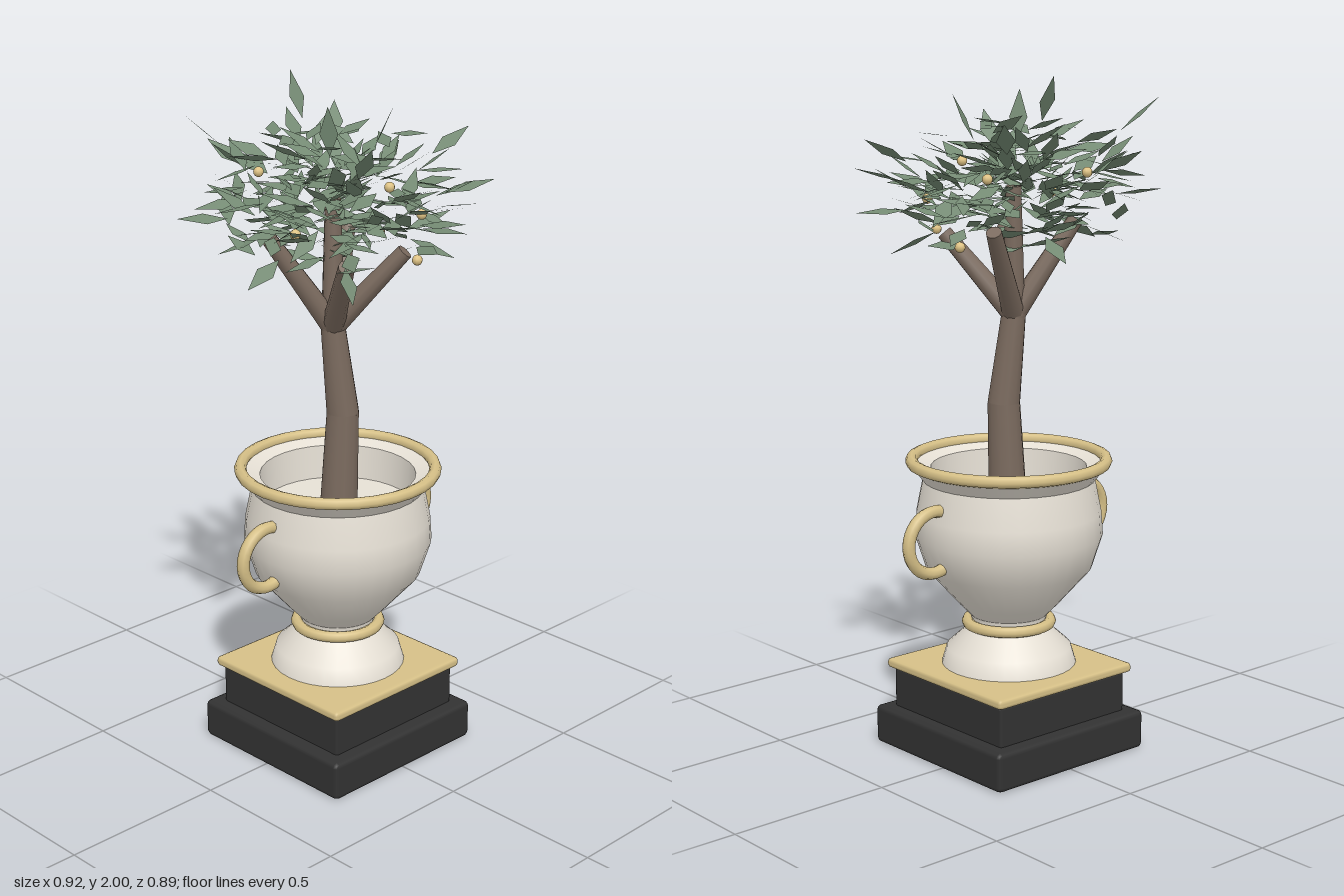
import * as THREE from 'three';
import { mergeGeometries } from 'three/addons/utils/BufferGeometryUtils.js';
import { RoundedBoxGeometry } from 'three/addons/geometries/RoundedBoxGeometry.js';

const V = (x, y, z) => new THREE.Vector3(x, y, z);

function material(name, color, extra = {}) {
  const m = new THREE.MeshStandardMaterial({ color, ...extra });
  m.name = name;
  return m;
}

// Small seeded generator for the foliage
function seeded(seed) {
  return () => {
    seed = (seed * 16807) % 2147483647;
    return seed / 2147483647;
  };
}

// Flat diamond leaf, pointing along dir with its tip at the given point
function leafGeometry(tip, dir, length, width, roll) {
  const shape = new THREE.Shape();
  shape.moveTo(0, -length);
  shape.lineTo(width / 2, -length * 0.55);
  shape.lineTo(0, 0);
  shape.lineTo(-width / 2, -length * 0.55);
  const d = dir.clone().normalize();
  const side = d.clone().cross(V(0, 1, 0)).normalize().applyAxisAngle(d, roll);
  const normal = side.clone().cross(d);
  const frame = new THREE.Matrix4().makeBasis(side, d, normal).setPosition(tip);
  return new THREE.ShapeGeometry(shape).applyMatrix4(frame);
}

// Tapered cylinder between two points
function limbGeometry(a, b, ra, rb, sides) {
  const d = b.clone().sub(a);
  const g = new THREE.CylinderGeometry(rb, ra, d.length(), sides);
  g.applyQuaternion(new THREE.Quaternion().setFromUnitVectors(V(0, 1, 0), d.normalize()));
  const mid = a.clone().add(b).multiplyScalar(0.5);
  return g.translate(mid.x, mid.y, mid.z);
}

export function createModel() {
  const black = material('black stone', 0x323232);
  const gold = material('gold', 0xd6c087);
  const cream = material('cream ceramic', 0xe6e0d5, { side: THREE.DoubleSide });
  const bark = material('bark', 0x7a6a5e);
  const green = material('leaf green', 0x748a73, { side: THREE.DoubleSide });
  const fruitTan = material('fruit tan', 0xdec283);

  const model = new THREE.Group();
  model.name = 'pottedTree';
  const planter = new THREE.Group();
  planter.name = 'planter';
  planter.position.z = 0.02;
  const tree = new THREE.Group();
  tree.name = 'tree';
  model.add(planter, tree);

  const add = (parent, name, geometry, mat) => {
    const mesh = new THREE.Mesh(geometry, mat);
    mesh.name = name;
    parent.add(mesh);
  };

  // Square pedestal: name, half width, bottom, top, bevel, material
  const slabs = [
    ['plinthBase', 0.285, 0, 0.117, 0.015, black],
    ['plinthUpper', 0.243, 0.11, 0.237, 0.01, black],
    ['plinthPlate', 0.26, 0.235, 0.265, 0.012, gold],
  ];
  for (const [name, half, y0, y1, bevel, mat] of slabs) {
    const g = new RoundedBoxGeometry(half * 2, y1 - y0, half * 2, 1, bevel);
    add(planter, name, g.translate(0, (y0 + y1) / 2, 0), mat);
  }

  // Turned urn, one profile per crease-free section
  const profiles = {
    urnFoot: [[0.2, 0.264], [0.185, 0.315], [0.125, 0.37], [0.108, 0.395], [0.115, 0.415]],
    urnBowl: [[0.115, 0.415], [0.15, 0.452], [0.245, 0.56], [0.277, 0.66], [0.272, 0.73], [0.253, 0.825]],
    urnFlare: [[0.253, 0.825], [0.288, 0.87]],
    urnLip: [[0.288, 0.88], [0.228, 0.862]],
    urnInnerWall: [[0.228, 0.862], [0.222, 0.76]],
    urnFloor: [[0.222, 0.76], [0, 0.76]],
  };
  for (const [name, points] of Object.entries(profiles)) {
    const profile = points.map(([r, y]) => new THREE.Vector2(r, y));
    add(planter, name, new THREE.LatheGeometry(profile, 32), cream);
  }

  // Gold rings at the neck and rim
  for (const [name, radius, tube, y] of [['neckRing', 0.123, 0.017, 0.39], ['rimRing', 0.285, 0.018, 0.88]]) {
    add(planter, name, new THREE.TorusGeometry(radius, tube, 8, 32).rotateX(Math.PI / 2).translate(0, y, 0), gold);
  }

  // Looped side handles
  for (const [name, turn] of [['leftHandle', 0], ['rightHandle', Math.PI]]) {
    const arc = Math.PI * 1.28;
    const g = new THREE.TorusGeometry(0.091, 0.0185, 8, 20, arc);
    g.rotateZ(-arc / 2).translate(0.285, 0.68, 0).rotateY(turn);
    add(planter, name, g, gold);
  }

  // Two-piece trunk leaning at the bend, with rounded joints
  const bend = V(0.012, 1.05, 0.028);
  const fork = V(-0.01, 1.31, 0.01);
  add(tree, 'lowerTrunk', limbGeometry(V(0.002, 0.755, 0.022), bend, 0.057, 0.048, 12), bark);
  add(tree, 'upperTrunk', limbGeometry(bend, fork, 0.048, 0.036, 12), bark);
  for (const [joint, r] of [[bend, 0.048], [fork, 0.037]]) {
    add(tree, 'trunkJoint', new THREE.SphereGeometry(r, 12, 8).translate(joint.x, joint.y, joint.z), bark);
  }

  // Branches fanning from the fork
  const tips = [
    V(-0.175, 1.58, -0.073), V(0.16, 1.57, -0.1), V(-0.12, 1.54, 0.175),
    V(0.11, 1.54, 0.175), V(0, 1.68, 0),
  ];
  tips.forEach((tip) => add(tree, 'branch', limbGeometry(fork, tip, 0.034, 0.023, 10), bark));

  // Crown leaves: densest at mid height, fanning outward
  const rand = seeded(4211);
  const spread = (n) => (rand() * 2 - 1) * n;
  const leaves = [];
  for (let i = 0; i < 225; i++) {
    const angle = i * 2.39996 + spread(0.3);
    const h = spread(0.6) + spread(0.35);
    const reach = 0.42 * Math.sqrt(1 - h * h) * Math.pow(rand(), 0.6);
    const tip = V(Math.cos(angle) * reach, 1.695 + h * 0.225, Math.sin(angle) * reach);
    const heading = angle + spread(0.9);
    const dir = V(Math.cos(heading), 0.15 + h * 0.5 + spread(0.45), Math.sin(heading));
    leaves.push(leafGeometry(tip, dir, 0.132 + spread(0.025), 0.046 + spread(0.008), spread(0.6)));
  }

  // Longer leaves breaking the outline, by tip
  const outer = [
    [0.46, 1.83, 0.09], [-0.46, 1.73, 0.14], [0.05, 1.73, -0.445], [0.065, 1.65, 0.445],
    [0.41, 1.76, -0.14], [-0.41, 1.66, -0.19], [-0.1, 1.8, -0.415], [0.17, 1.86, -0.37],
    [0.43, 1.62, 0.17], [-0.29, 1.6, 0.375], [-0.07, 1.78, 0.4], [0.14, 1.7, 0.39],
    [-0.33, 1.93, -0.25], [0.065, 2.0, -0.24], [-0.05, 1.95, 0.03], [0.14, 1.94, 0.1],
    [0.34, 1.73, 0.3], [0.27, 1.88, -0.27], [-0.37, 1.5, 0.05], [-0.2, 1.47, 0.28],
    [0.29, 1.49, 0.2], [0.1, 1.5, -0.33], [-0.24, 1.52, -0.22], [-0.12, 1.88, 0.27],
  ];
  for (const [x, y, z] of outer) {
    const dir = V(x, (y - 1.68) * 1.2 + 0.06, z);
    leaves.push(leafGeometry(V(x, y, z), dir, 0.145, 0.053, spread(0.5)));
  }
  add(tree, 'leaves', mergeGeometries(leaves), green);

  // Small round fruit
  const fruit = [
    [-0.24, 1.64, 0.1], [0.16, 1.64, 0.19], [0.24, 1.53, -0.05], [-0.075, 1.73, -0.225],
    [0.07, 1.54, 0.26], [0.03, 1.74, 0.19], [0.2, 1.72, -0.12],
  ];
  for (const [x, y, z] of fruit) {
    add(tree, 'fruit', new THREE.SphereGeometry(0.015, 10, 8).translate(x, y, z), fruitTan);
  }

  return model;
}
